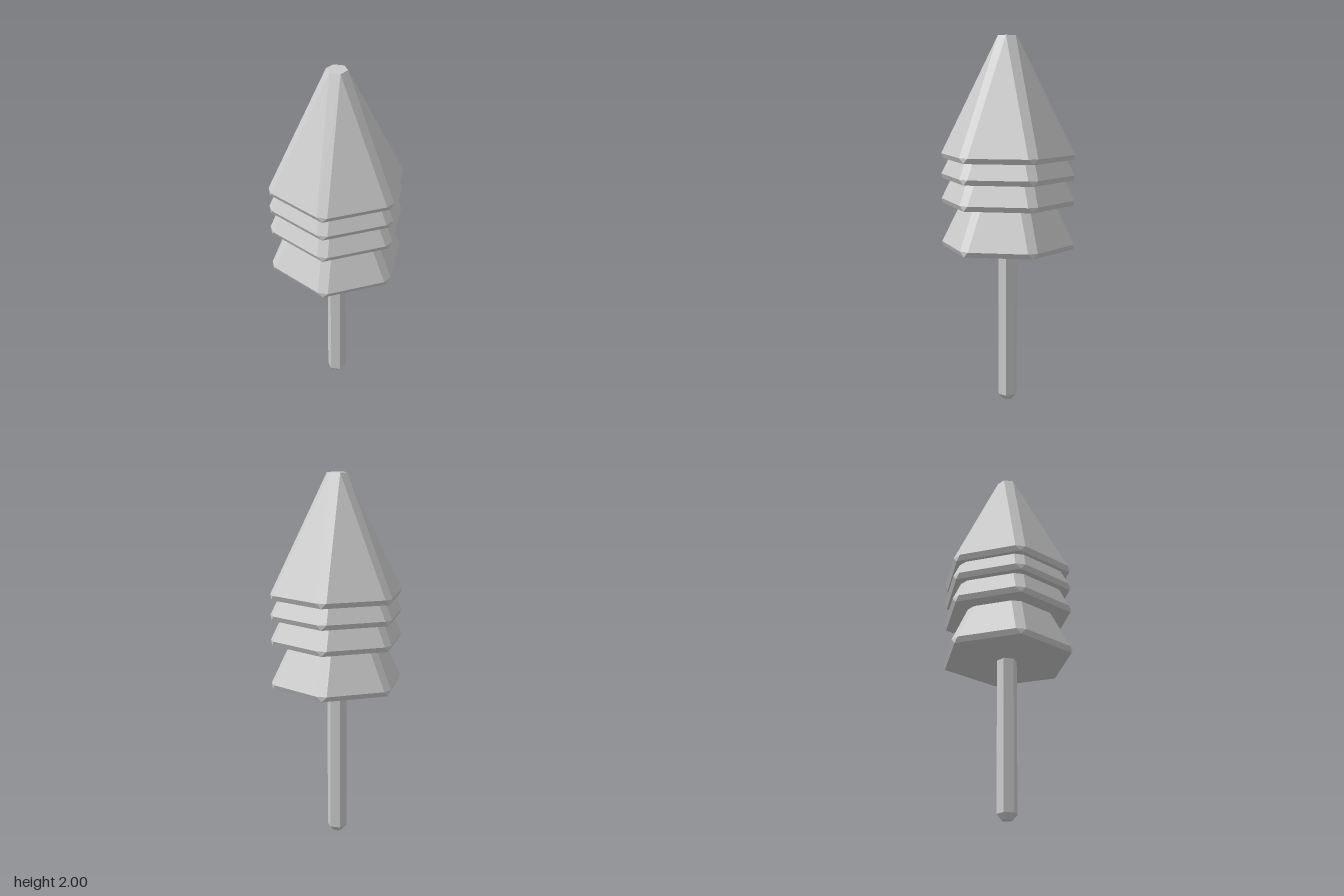
import * as THREE from 'three';
import { ConvexGeometry } from 'three/addons/geometries/ConvexGeometry.js';

const material = new THREE.MeshStandardMaterial({ color: 0xcccccc, flatShading: true });

const RADIUS = 0.36;   // corner distance of a tier
const BEVEL = 0.027;   // half width of the bevelled corner strips
const TIP = 0.047;     // distance of the strip at the cut-off tip
const RIM = 0.028;     // height of the slanted rim
const HEIGHT = 0.653;  // rim underside to tip

// Six-sided cone with bevelled corners, a cut-off tip and an undercut rim
function tierGeometry() {
  const points = [];
  const up = new THREE.Vector3(0, 1, 0);
  for (let i = 0; i < 6; i++) {
    const corner = [
      new THREE.Vector3(0, 0, RADIUS),
      new THREE.Vector3(-BEVEL, RIM, RADIUS),
      new THREE.Vector3(BEVEL, RIM, RADIUS),
    ];
    for (const p of corner) points.push(p.applyAxisAngle(up, i * Math.PI / 3));
    // one tip corner between each pair of strips
    const a = (i + 0.5) * Math.PI / 3;
    const r = TIP / Math.cos(Math.PI / 6);
    points.push(new THREE.Vector3(Math.sin(a) * r, HEIGHT, Math.cos(a) * r));
  }
  return new ConvexGeometry(points);
}

// Hexagonal prism or frustum with corners on the x axis
function addHexagon(group, name, rTop, rBottom, y0, y1) {
  const geometry = new THREE.CylinderGeometry(rTop, rBottom, y1 - y0, 6);
  geometry.rotateY(Math.PI / 6);
  geometry.translate(0, (y0 + y1) / 2, 0);
  const mesh = new THREE.Mesh(geometry, material);
  mesh.name = name;
  group.add(mesh);
}

export function createModel() {
  const tree = new THREE.Group();
  tree.name = 'tree';

  // Trunk with a tapered foot
  const trunk = new THREE.Group();
  trunk.name = 'trunk';
  addHexagon(trunk, 'trunkFoot', 0.054, 0.028, 0, 0.03);
  addHexagon(trunk, 'trunkPole', 0.054, 0.054, 0.03, 0.9);
  tree.add(trunk);

  // Four equal foliage tiers, nested into each other
  const foliage = new THREE.Group();
  foliage.name = 'foliage';
  const geometry = tierGeometry();
  [0.863, 1.102, 1.237, 1.347].forEach((y, i) => {
    const tier = new THREE.Mesh(geometry, material);
    tier.name = `foliageTier${i + 1}`;
    tier.position.y = y;
    foliage.add(tier);
  });
  tree.add(foliage);

  return tree;
}
